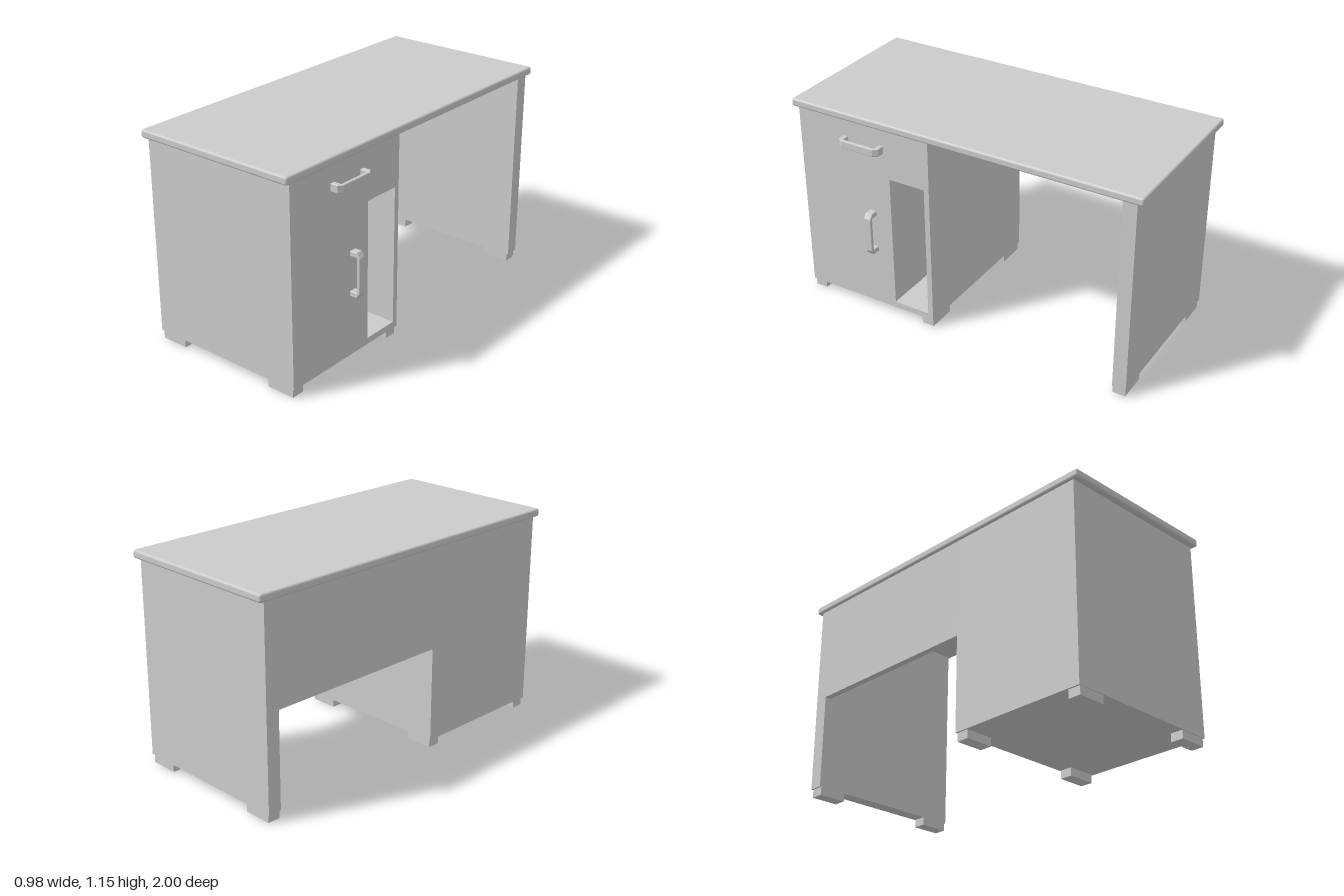
import * as THREE from 'three';
import { RoundedBoxGeometry } from 'three/addons/geometries/RoundedBoxGeometry.js';

const material = new THREE.MeshStandardMaterial({ color: 0xcccccc });
const BACK = -0.475, FRONT = 0.43, FOOT = 0.045, UNDER = 1.11;

export function createModel() {
  const desk = new THREE.Group();
  desk.name = 'desk';

  const add = (name, geometry) => {
    const mesh = new THREE.Mesh(geometry, material);
    mesh.name = name;
    desk.add(mesh);
    return mesh;
  };
  // Box given by its limits on each axis
  const box = (name, [x0, x1], [y0, y1], [z0, z1]) =>
    add(name, new THREE.BoxGeometry(x1 - x0, y1 - y0, z1 - z0))
      .position.set((x0 + x1) / 2, (y0 + y1) / 2, (z0 + z1) / 2);
  const rectangle = (path, x0, x1, y0, y1) =>
    path.moveTo(x0, y0).lineTo(x1, y0).lineTo(x1, y1).lineTo(x0, y1).closePath();

  // Table top with softened edges
  add('tableTop', new RoundedBoxGeometry(0.935, 0.043, 2, 3, 0.012)).position.set(-0.0225, 1.1315, 0);

  // Cabinet with an open niche, closed by a thin back board
  const board = 0.03;
  const section = rectangle(new THREE.Shape(), -0.965, -0.17, FOOT, UNDER);
  section.holes.push(rectangle(new THREE.Path(), -0.41, -0.2, 0.08, 0.835));
  const cabinet = new THREE.ExtrudeGeometry(section, { depth: FRONT - BACK - board, bevelEnabled: false });
  cabinet.rotateY(Math.PI / 2);
  add('cabinet', cabinet).position.x = BACK + board;
  box('cabinetBack', [BACK, BACK + board], [FOOT, UNDER], [0.17, 0.965]);

  // Side panel and modesty panel
  box('sidePanel', [BACK, FRONT], [FOOT, UNDER], [-0.965, -0.89]);
  box('modestyPanel', [BACK, BACK + 0.037], [0.565, UNDER], [-0.89, 0.17]);

  // Feet, a front and a rear one under each support
  for (const z of [0.925, 0.21, -0.925]) {
    for (const [x0, x1] of [[-0.465, -0.31], [0.262, 0.42]]) {
      box('foot', [x0, x1], [0, FOOT], [z - 0.035, z + 0.035]);
    }
  }

  // Chamfered bow handle, drawn as a profile and given slightly eased edges
  const e = 0.003;
  const bow = new THREE.Shape([
    [0, -0.1225 + e], [0.041 - e, -0.1225 + e], [0.058 - e, -0.095], [0.058 - e, 0.095],
    [0.041 - e, 0.1225 - e], [0, 0.1225 - e], [0, 0.094 + e], [0.039 + e, 0.094 + e],
    [0.039 + e, -0.094 - e], [0, -0.094 - e],
  ].map(([x, y]) => new THREE.Vector2(x, y)));
  const handle = new THREE.ExtrudeGeometry(bow, {
    depth: 0.042 - 2 * e, bevelSize: e, bevelThickness: e, bevelSegments: 1,
  });
  handle.translate(0, 0, -0.021 + e);
  add('doorHandle', handle).position.set(FRONT, 0.4975, 0.525);
  const drawerHandle = add('drawerHandle', handle);
  drawerHandle.position.set(FRONT, 0.997, 0.563);
  drawerHandle.rotation.x = Math.PI / 2;

  return desk;
}
